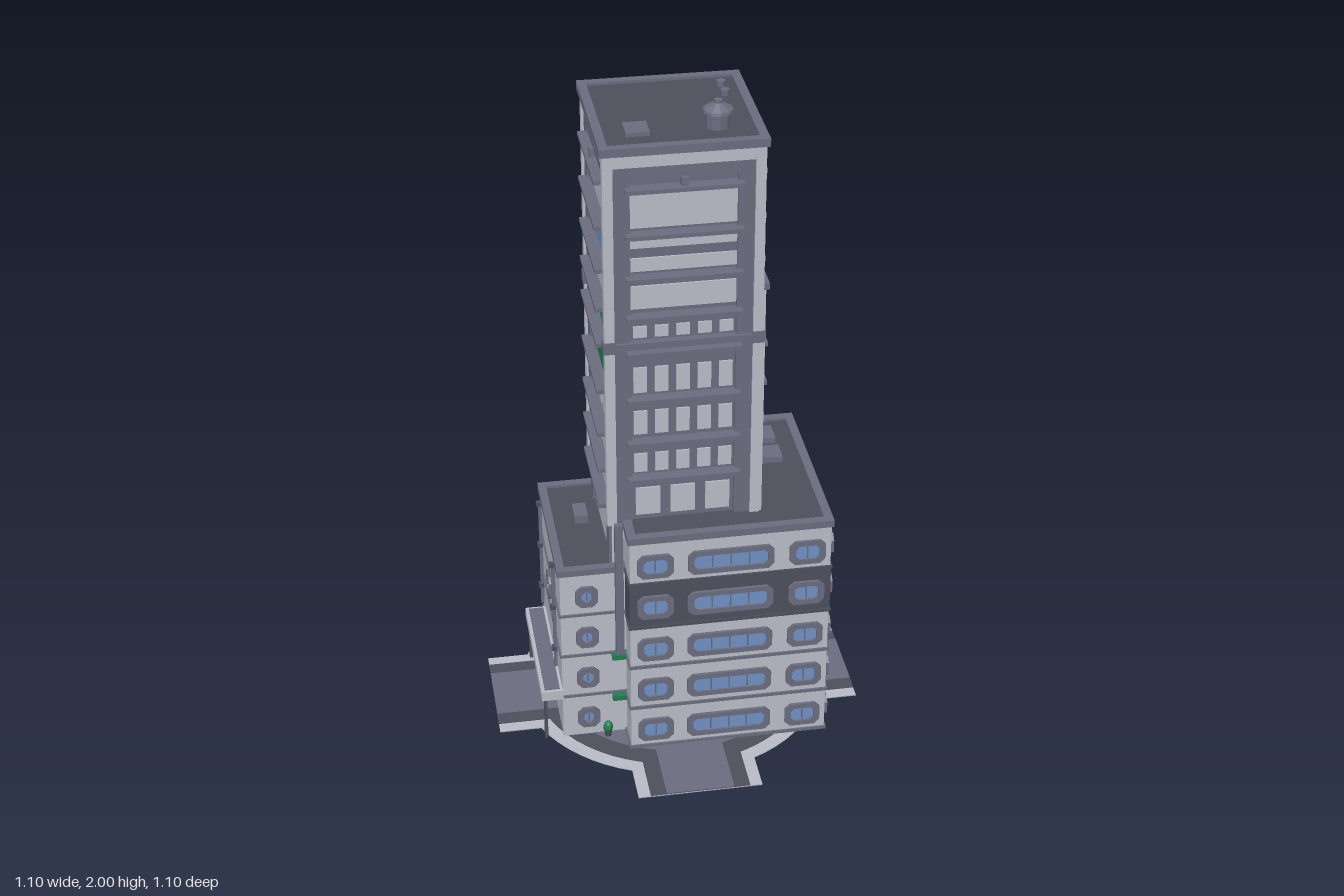
import * as THREE from 'three';

const mat = (name, color) => Object.assign(new THREE.MeshStandardMaterial({ color }), { name });
const WALL = mat('pale wall', 0xb9bcc8);
const TRIM = mat('slate trim', 0x6b6d80);
const DARK = mat('dark asphalt', 0x4d505c);
const GLASS = mat('blue glass', 0x7092c4);
const GREEN = mat('green', 0x1f7d50);

function add(parent, name, geo, m, x = 0, y = 0, z = 0) {
  const mesh = new THREE.Mesh(geo, m);
  mesh.name = name;
  mesh.position.set(x, y, z);
  parent.add(mesh);
  return mesh;
}
// box given by its limits on each axis
function box(parent, name, m, x0, x1, y0, y1, z0, z1) {
  return add(parent, name, new THREE.BoxGeometry(x1 - x0, y1 - y0, z1 - z0), m,
    (x0 + x1) / 2, (y0 + y1) / 2, (z0 + z1) / 2);
}
function group(parent, name, x = 0, y = 0, z = 0, turn = 0) {
  const g = new THREE.Group();
  g.name = name;
  g.position.set(x, y, z);
  g.rotation.y = turn;
  parent.add(g);
  return g;
}
// rectangle with cut corners
function octagon(Type, w, h, c) {
  const a = w / 2, b = h / 2;
  return new Type([[-a + c, -b], [a - c, -b], [a, -b + c], [a, b - c], [a - c, b], [-a + c, b], [-a, b - c], [-a, -b + c]]
    .map(p => new THREE.Vector2(...p)));
}
// framed window on the local z = 0 plane, facing +z
function windowUnit(parent, x, y, w, h) {
  const g = group(parent, 'window', x, y, 0);
  const shape = octagon(THREE.Shape, w, h, 0.016);
  shape.holes.push(octagon(THREE.Path, w - 0.036, h - 0.032, 0.01));
  add(g, 'windowFrame', new THREE.ExtrudeGeometry(shape, { depth: 0.009, bevelEnabled: false }), TRIM);
  box(g, 'windowPane', GLASS, -w / 2 + 0.015, w / 2 - 0.015, -h / 2 + 0.013, h / 2 - 0.013, -0.002, 0.003);
  const n = w > 0.15 ? 3 : 1;
  for (let i = 1; i <= n; i++) {
    const mx = (i / (n + 1) - 0.5) * (w - 0.036);
    box(g, 'mullion', TRIM, mx - 0.002, mx + 0.002, -h / 2 + 0.02, h / 2 - 0.02, 0.002, 0.006);
  }
}
// dark flat roof with a raised rim
function roof(parent, x0, x1, z0, z1, y0, y1, t) {
  const g = group(parent, 'roof');
  box(g, 'roofDeck', DARK, x0 + t / 2, x1 - t / 2, y0, y1 - 0.008, z0 + t / 2, z1 - t / 2);
  box(g, 'rim', TRIM, x0, x1, y0, y1, z0, z0 + t);
  box(g, 'rim', TRIM, x0, x1, y0, y1, z1 - t, z1);
  box(g, 'rim', TRIM, x0, x0 + t, y0, y1, z0 + t, z1 - t);
  box(g, 'rim', TRIM, x1 - t, x1, y0, y1, z0 + t, z1 - t);
}

function buildGround(root) {
  const g = group(root, 'ground');
  const layer = (name, m, r, half, y0, y1) => {
    add(g, name + 'Circle', new THREE.CylinderGeometry(r, r, y1 - y0, 64), m, 0, (y0 + y1) / 2, 0);
    box(g, name + 'Arm', m, -0.548, 0.548, y0, y1, -half, half);
    box(g, name + 'Arm', m, -half, half, y0, y1, -0.548, 0.548);
  };
  add(g, 'underside', new THREE.CylinderGeometry(0.45, 0.45, 0.002, 64), DARK, 0, 0.001, 0);
  box(g, 'armUnderside', TRIM, -0.548, 0.548, 0.0005, 0.002, -0.183, 0.183);
  box(g, 'armUnderside', TRIM, -0.183, 0.183, 0.0005, 0.002, -0.548, 0.548);
  layer('pavement', WALL, 0.462, 0.183, 0.002, 0.005);
  layer('gutter', DARK, 0.42, 0.147, 0.005, 0.007);
  layer('road', TRIM, 0.36, 0.1, 0.007, 0.009);
  box(g, 'doorstep', WALL, -0.185, 0, 0.005, 0.014, -0.3, -0.26);
}

function buildPodium(root) {
  const g = group(root, 'podium');
  const X0 = -0.17, X1 = 0.415, Z0 = -0.26, Z1 = 0.325;
  box(g, 'lowerFloors', WALL, X0, X1, 0.008, 0.45, Z0, Z1);
  box(g, 'darkFloor', DARK, X0 - 0.002, X1 + 0.002, 0.45, 0.6, Z0 - 0.002, Z1 + 0.002);
  box(g, 'topFloor', WALL, X0, X1, 0.6, 0.742, Z0, Z1);
  for (const y of [0.012, 0.157, 0.305, 0.448, 0.6])
    box(g, 'floorBand', y > 0.4 ? DARK : TRIM, X0 - 0.005, X1 + 0.005, y - 0.005, y + 0.005, Z0 - 0.005, Z1 + 0.005);
  roof(g, X0 - 0.006, X1 + 0.006, Z0 - 0.006, Z1 + 0.006, 0.74, 0.762, 0.026);
  for (const [z0, z1] of [[-0.19, -0.117], [-0.08, -0.01]]) box(g, 'roofVent', TRIM, 0.27, 0.34, 0.75, 0.772, z0, z1);

  const front = group(g, 'frontWindows', 0, 0, Z1 + 0.002);
  const back = group(g, 'backWindows', 0, 0, Z0 - 0.002, Math.PI);
  const side = group(g, 'sideWindows', X1 + 0.002, 0, 0, Math.PI / 2);
  [0.075, 0.223, 0.37, 0.52, 0.662].forEach((y, i) => {
    for (const [x, w] of [[-0.097, 0.105], [0.122, 0.25], [0.345, 0.105]]) {
      windowUnit(front, x, y, w, 0.078);
      if (i || x > 0.3) windowUnit(back, -x, y, w, 0.078);
    }
    windowUnit(side, -0.258, y, 0.115, 0.07);
  });
  // back entrance
  box(back, 'entranceFrame', TRIM, -0.25, 0.02, 0.012, 0.125, 0, 0.008);
  for (let i = 0; i < 4; i++) box(back, 'entranceGlass', GLASS, -0.24 + i * 0.064, -0.184 + i * 0.064, 0.016, 0.115, 0.004, 0.011);
}

function buildCanopy(root, x0, x1, z0, z1, y0, y1, posts) {
  const g = group(root, 'canopy');
  box(g, 'canopySlab', WALL, x0, x1, y0, y1, z0, z1);
  box(g, 'canopyTop', TRIM, x0 + 0.01, x1 - 0.01, y1, y1 + 0.003, z0 + 0.01, z1 - 0.01);
  for (const [x, z] of posts) box(g, 'canopyPost', DARK, x - 0.005, x + 0.005, 0.005, y0, z - 0.005, z + 0.005);
}

function buildAnnex(root) {
  const g = group(root, 'annex');
  box(g, 'annexWalls', WALL, -0.362, -0.16, 0.008, 0.595, -0.225, 0.238);
  for (const y of [0.157, 0.305, 0.45]) box(g, 'annexBand', TRIM, -0.367, -0.16, y - 0.004, y + 0.004, -0.23, 0.243);
  roof(g, -0.37, -0.16, -0.232, 0.245, 0.592, 0.612, 0.024);
  box(g, 'roofVent', TRIM, -0.285, -0.245, 0.6, 0.63, -0.075, -0.005);
  const front = group(g, 'annexFrontWindows', 0, 0, 0.239);
  const back = group(g, 'annexBackWindows', 0, 0, -0.226, Math.PI);
  const left = group(g, 'annexSideWindows', -0.363, 0, 0, -Math.PI / 2);
  for (const y of [0.075, 0.223, 0.37, 0.515]) {
    windowUnit(front, -0.285, y, 0.066, 0.07);
    windowUnit(back, 0.285, y, 0.066, 0.07);
  }
  windowUnit(left, 0, 0.4, 0.075, 0.08);
  box(left, 'door', TRIM, -0.06, 0.06, 0.01, 0.125, 0, 0.008);
  box(left, 'doorGlass', GLASS, -0.045, 0.045, 0.015, 0.11, 0.003, 0.011);
  for (const z of [-0.2, 0.127]) {
    box(left, 'drainPipe', TRIM, z - 0.005, z + 0.005, 0.19, 0.56, 0, 0.01);
    for (const y of [0.25, 0.4, 0.55]) box(left, 'pipeBracket', DARK, z - 0.008, z + 0.008, y, y + 0.014, 0, 0.016);
  }
  // corner ducts, small awnings and planters on the front and back
  for (const [z, s] of [[0.24, 1], [-0.228, -1]]) {
    const c = group(g, 'cornerDetails', -0.19, 0, z, s > 0 ? 0 : Math.PI);
    box(c, 'duct', TRIM, -0.012, 0.012, 0.3, 0.76, 0, 0.018);
    for (const y of [0.147, 0.297]) box(c, 'awning', GREEN, -0.024, 0.024, y - 0.008, y + 0.008, 0, 0.022);
    add(c, 'planter', new THREE.CylinderGeometry(0.012, 0.009, 0.02, 8), DARK, -0.04 * s, 0.018, 0.016);
    add(c, 'shrub', new THREE.SphereGeometry(0.015, 8, 6), GREEN, -0.04 * s, 0.04, 0.016).scale.y = 1.4;
  }
}

// one face of the tower: slate frame, sills and panels, local z = 0 on the core
function facade(parent, name, turn, y0, barHeights) {
  const f = group(parent, name, Math.sin(turn) * 0.2, 0, Math.cos(turn) * 0.2, turn);
  for (const s of [-1, 1]) box(f, 'pilaster', TRIM, s * 0.17 - 0.024, s * 0.17 + 0.024, y0, 1.87, 0, 0.013);
  box(f, 'header', TRIM, -0.146, 0.146, 1.83, 1.87, 0, 0.013);
  box(f, 'topBand', WALL, -0.21, 0.21, 1.87, 1.912, 0, 0.018);
  box(f, 'upperPanel', WALL, -0.146, 0.146, 1.685, 1.795, 0, 0.004);
  box(f, 'lamp', TRIM, -0.01, 0.01, 1.8, 1.835, 0, 0.025);
  for (const y of barHeights) box(f, 'sill', TRIM, -0.16, 0.16, y - 0.006, y + 0.006, 0, 0.036);
  return f;
}

function buildTower(root) {
  const g = group(root, 'tower', 0, 0, 0.017);
  box(g, 'core', TRIM, -0.2, 0.2, 0.75, 1.91, -0.2, 0.2);
  for (const sx of [-1, 1]) for (const sz of [-1, 1]) {
    box(g, 'corner', WALL, sx * 0.206 - 0.014, sx * 0.206 + 0.014, 0.75, 1.91, sz * 0.206 - 0.014, sz * 0.206 + 0.014);
    box(g, 'cornerClamp', TRIM, sx * 0.207 - 0.017, sx * 0.207 + 0.017, 1.315, 1.35, sz * 0.207 - 0.017, sz * 0.207 + 0.017);
  }
  roof(g, -0.228, 0.228, -0.228, 0.228, 1.908, 1.932, 0.025);
  const upper = [1.805, 1.67, 1.54];
  const all = [...upper, 1.42, 1.31, 1.16, 1.02, 0.9];
  const panel = (f, m, x0, x1, y0, y1) => box(f, 'panel', m, x0, x1, y0, y1, 0, 0.005);
  const blocks = (f, m, y0, y1) => {
    for (let i = -2; i <= 2; i++) panel(f, m, i * 0.06 - 0.019, i * 0.06 + 0.019, y0, y1);
  };

  // front
  const front = facade(g, 'frontFacade', 0, 0.75, all);
  for (const [a, b] of [[1.625, 1.655], [1.555, 1.595], [1.44, 1.51]]) panel(front, WALL, -0.146, 0.146, a, b);
  for (const [a, b] of [[1.35, 1.385], [1.175, 1.255], [1.04, 1.115], [0.915, 0.975]]) blocks(front, WALL, a, b);
  for (const x of [-0.1, 0, 0.1]) panel(front, WALL, x - 0.035, x + 0.035, 0.77, 0.86);
  box(front, 'beltCourse', TRIM, -0.2, 0.2, 1.322, 1.342, 0, 0.022);

  // left-hand face above the annex
  const west = facade(g, 'annexSideFacade', -Math.PI / 2, 0.6, [...all, 0.78]);
  panel(west, GLASS, -0.13, 0.13, 1.56, 1.63);
  panel(west, WALL, -0.146, 0.146, 1.44, 1.52);
  panel(west, GREEN, -0.13, 0.13, 1.335, 1.39);
  panel(west, GREEN, -0.13, 0.13, 1.18, 1.29);
  for (const [a, b] of [[1.04, 1.12], [0.92, 0.98], [0.8, 0.87]]) blocks(west, WALL, a, b);
  box(west, 'lowerWall', WALL, -0.2, 0.2, 0.6, 0.75, -0.05, 0.005);

  // right-hand face: framed top, plain projecting wall below
  const east = facade(g, 'plainSideFacade', Math.PI / 2, 1.49, upper);
  panel(east, WALL, -0.146, 0.146, 1.555, 1.59);
  panel(east, GLASS, -0.13, 0.13, 1.497, 1.518);
  box(east, 'plainWall', WALL, -0.215, 0.23, 0.75, 1.476, 0, 0.027);
  box(east, 'wallCap', TRIM, -0.218, 0.234, 1.476, 1.496, 0, 0.036);
  [1.43, 1.3, 1.175, 1.05, 0.925, 0.8].forEach((y, i) => {
    box(east, 'wallRail', TRIM, -0.13, 0.165, y - 0.007, y + 0.007, 0.02, 0.045);
    if (i && i < 5) box(east, 'wallRail', TRIM, -0.17, 0.0, y - 0.03, y - 0.018, 0.02, 0.045);
  });

  // back: projecting bay with tall window columns
  const back = facade(g, 'backFacade', Math.PI, 1.63, [1.805, 1.67]);
  box(back, 'bay', WALL, -0.21, 0.21, 0.75, 1.62, 0, 0.026);
  box(back, 'bayCap', TRIM, -0.225, 0.222, 1.615, 1.635, 0, 0.045);
  const bay = group(back, 'bayFront', 0, 0, 0.026);
  box(bay, 'stripFrame', TRIM, -0.165, 0.165, 1.525, 1.6, 0, 0.006);
  box(bay, 'stripGlass', GLASS, -0.145, 0.145, 1.54, 1.585, 0, 0.009);
  box(bay, 'windowField', TRIM, -0.17, 0.17, 0.75, 1.49, 0, 0.006);
  for (const s of [-1, 1]) box(bay, 'bayPilaster', TRIM, s * 0.16 - 0.014, s * 0.16 + 0.014, 0.75, 1.5, 0, 0.016);
  box(bay, 'bayHeader', TRIM, -0.174, 0.174, 1.47, 1.5, 0, 0.018);
  for (const x of [-0.115, -0.045, 0.045, 0.115]) box(bay, 'column', WALL, x - 0.016, x + 0.016, 0.77, 1.47, 0, 0.01);
  [0.79, 0.915, 1.04, 1.165, 1.29, 1.4].forEach((y, i) => {
    box(bay, 'baySill', TRIM, -0.165, 0.165, y - 0.006, y + 0.006, 0, 0.024);
    if (i > 1) for (const x of [-0.08, 0, 0.08]) box(bay, 'bayGlass', GLASS, x - 0.016, x + 0.016, y + 0.012, y + 0.062, 0, 0.009);
  });

  // rooftop equipment
  box(g, 'roofHatch', TRIM, -0.145, -0.08, 1.92, 1.936, 0.073, 0.143);
  for (const z of [-0.147, -0.087]) add(g, 'roofPipe', new THREE.CylinderGeometry(0.013, 0.013, 0.02, 10), TRIM, 0.163, 1.93, z);
  const tank = [[0, 0], [0.034, 0], [0.034, 0.048], [0.043, 0.048], [0.041, 0.056], [0.012, 0.073], [0.012, 0.08], [0, 0.08]];
  const geo = new THREE.LatheGeometry(tank.map(p => new THREE.Vector2(...p)), 10).toNonIndexed();
  geo.computeVertexNormals();
  add(g, 'waterTank', geo, TRIM, 0.108, 1.92, 0.11);
}

export function createModel() {
  const root = new THREE.Group();
  root.name = 'officeTower';
  buildGround(root);
  buildPodium(root);
  buildAnnex(root);
  buildCanopy(root, -0.425, -0.36, -0.185, 0.245, 0.152, 0.184, [[-0.413, -0.17], [-0.413, 0.23]]);
  buildCanopy(root, 0, 0.25, -0.335, -0.26, 0.115, 0.145, [[0.015, -0.317], [0.235, -0.317]]);
  buildTower(root);
  return root;
}
